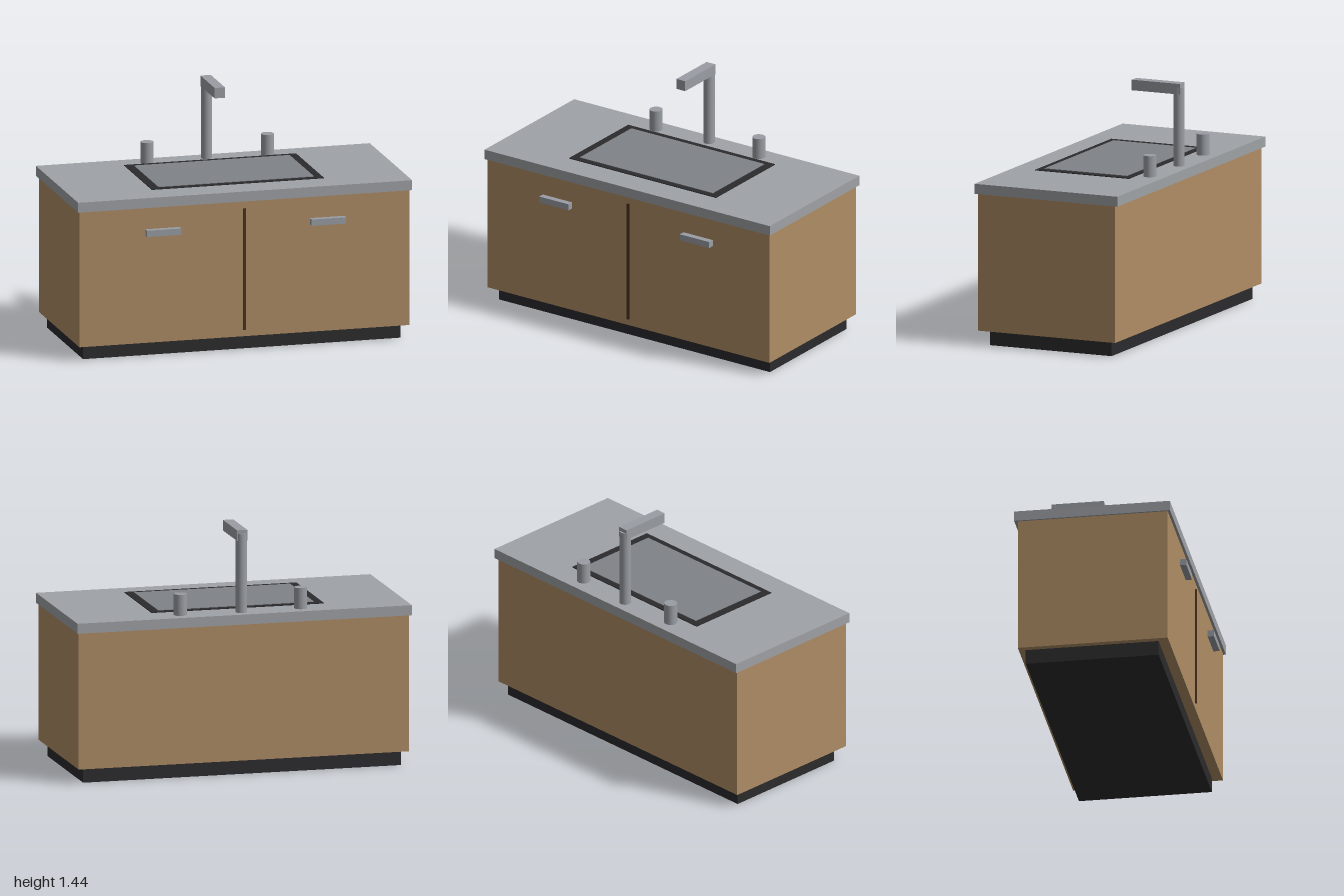
import * as THREE from 'three';

const material = (color) => new THREE.MeshStandardMaterial({ color });

export function createModel() {
  const model = new THREE.Group();
  model.name = 'sinkCabinet';
  const wood = material(0xb08d65);
  const black = material(0x2b2b2d);
  const brown = material(0x4a3420);
  const stone = material(0x9fa2a6);
  const steel = material(0x9a9ea4);
  const basinGrey = material(0x808387);

  // Box given by its extents along each axis
  const box = (name, mat, [x0, x1], [y0, y1], [z0, z1]) => {
    const mesh = new THREE.Mesh(new THREE.BoxGeometry(x1 - x0, y1 - y0, z1 - z0), mat);
    mesh.position.set((x0 + x1) / 2, (y0 + y1) / 2, (z0 + z1) / 2);
    mesh.name = name;
    model.add(mesh);
  };
  // Upright cylinder from y0 to y1
  const post = (name, radius, x, z, y0, y1) => {
    const mesh = new THREE.Mesh(new THREE.CylinderGeometry(radius, radius, y1 - y0, 24), steel);
    mesh.position.set(x, (y0 + y1) / 2, z);
    mesh.name = name;
    model.add(mesh);
  };

  // Cabinet
  box('plinth', black, [-0.95, 0.95], [0, 0.087], [-0.41, 0.367]);
  box('cabinetBody', wood, [-0.988, 0.988], [0.087, 0.892], [-0.45, 0.426]);
  box('doorGap', brown, [-0.008, 0.008], [0.125, 0.848], [0.42, 0.434]);
  box('countertop', stone, [-1, 1], [0.892, 0.951], [-0.47, 0.441]);

  // Sink: dark rim with the inner panel laid on it
  box('sinkRim', black, [-0.515, 0.515], [0.957, 0.961], [-0.316, 0.284]);
  box('sinkBasin', basinGrey, [-0.466, 0.466], [0.959, 0.964], [-0.277, 0.247]);

  // Tap
  post('tapColumn', 0.033, 0, -0.391, 0.951, 1.415);
  box('tapSpout', steel, [-0.031, 0.031], [1.375, 1.437], [-0.411, -0.104]);

  // Mirrored knobs and door handles
  for (const [side, s] of [['left', 1], ['right', -1]]) {
    post(side + 'Knob', 0.038, s * 0.36, -0.375, 0.951, 1.075);
    const x = s * 0.493;
    box(side + 'Handle', steel, [x - 0.103, x + 0.103], [0.727, 0.765], [0.434, 0.471]);
  }
  return model;
}
